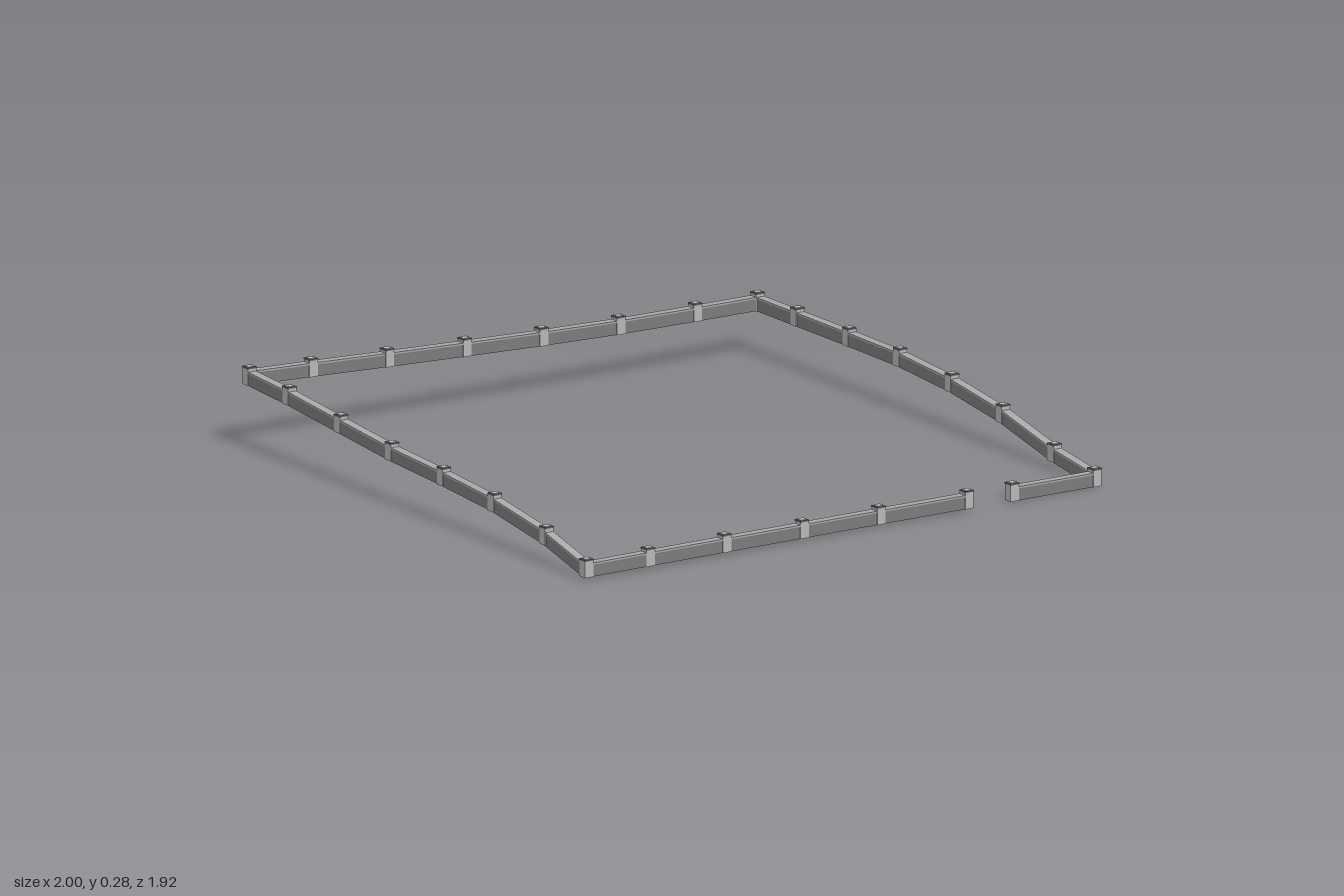
import * as THREE from 'three';

const mat = (name, color) => {
  const m = new THREE.MeshStandardMaterial({ color });
  m.name = name;
  return m;
};

const X = 0.983, Z = 0.944;
const POST = 0.032, WALL_H = 0.04, COPING_H = 0.006;

// ground height under the posts, walked from one side of the gate round to the other
function wallPath() {
  const xs = [-0.745, -0.45, -0.15, 0.147];
  const zs = [0.72, 0.43, 0.145, -0.145, -0.43, -0.72];
  const path = [[0.663, 0.002, Z], [X, 0, Z]];
  const rightY = [0.03, 0.093, 0.13, 0.148, 0.15, 0.15];
  zs.forEach((z, i) => path.push([X, rightY[i], z]));
  path.push([X, 0.15, -Z]);
  const backX = [0.742, 0.445, 0.147, -0.15, -0.45, -0.745];
  const backY = [0.152, 0.156, 0.165, 0.177, 0.19, 0.204];
  backX.forEach((x, i) => path.push([x, backY[i], -Z]));
  path.push([-X, 0.214, -Z]);
  const leftY = [0.067, 0.11, 0.131, 0.147, 0.173, 0.2];
  for (let i = zs.length - 1; i >= 0; i--) path.push([-X, leftY[i], zs[i]]);
  path.push([-X, 0.01, Z]);
  const frontY = [0.01, 0.009, 0.008, 0.007];
  xs.forEach((x, i) => path.push([x, frontY[i], Z]));
  path.push([0.488, 0.005, Z]);
  return path.map(p => new THREE.Vector3(...p));
}

// box between two posts, sheared so it follows the slope with upright ends
function slopedBox(a, b, width, height, lift) {
  const run = Math.hypot(b.x - a.x, b.z - a.z);
  const g = new THREE.BoxGeometry(run, height, width);
  const p = g.attributes.position;
  for (let i = 0; i < p.count; i++) {
    const t = p.getX(i) / run + 0.5;
    p.setY(i, p.getY(i) + height / 2 + lift + a.y + (b.y - a.y) * t);
  }
  g.rotateY(-Math.atan2(b.z - a.z, b.x - a.x));
  g.translate((a.x + b.x) / 2, 0, (a.z + b.z) / 2);
  g.computeVertexNormals();
  return g;
}

export function createModel() {
  const wallMat = mat('wall grey', 0x7c7c7c);
  const copingMat = mat('coping grey', 0xa8a8a8);
  const postMat = mat('post grey', 0xb8b8b8);
  const rimMat = mat('cap rim dark grey', 0x6a6a6a);

  const model = new THREE.Group();
  model.name = 'boundaryWall';
  const add = (parent, name, geometry, material, x = 0, y = 0, z = 0) => {
    const m = new THREE.Mesh(geometry, material);
    m.name = name;
    m.position.set(x, y, z);
    parent.add(m);
  };

  const path = wallPath();

  // wall panels with a coping on top
  for (let i = 0; i < path.length - 1; i++) {
    const a = path[i], b = path[i + 1];
    const section = new THREE.Group();
    section.name = 'wallSection';
    add(section, 'wallPanel', slopedBox(a, b, 0.027, WALL_H, 0), wallMat);
    add(section, 'coping', slopedBox(a, b, 0.031, COPING_H, WALL_H), copingMat);
    model.add(section);
  }

  // posts with a dark-rimmed cap
  const shaft = new THREE.BoxGeometry(POST, 0.054, POST);
  const rim = new THREE.BoxGeometry(0.034, 0.005, 0.034);
  const top = new THREE.BoxGeometry(0.024, 0.002, 0.024);
  for (const p of path) {
    const post = new THREE.Group();
    post.name = 'post';
    post.position.copy(p);
    add(post, 'postShaft', shaft, postMat, 0, 0.027, 0);
    add(post, 'postCapRim', rim, rimMat, 0, 0.0565, 0);
    add(post, 'postCapTop', top, postMat, 0, 0.06, 0);
    model.add(post);
  }
  return model;
}
